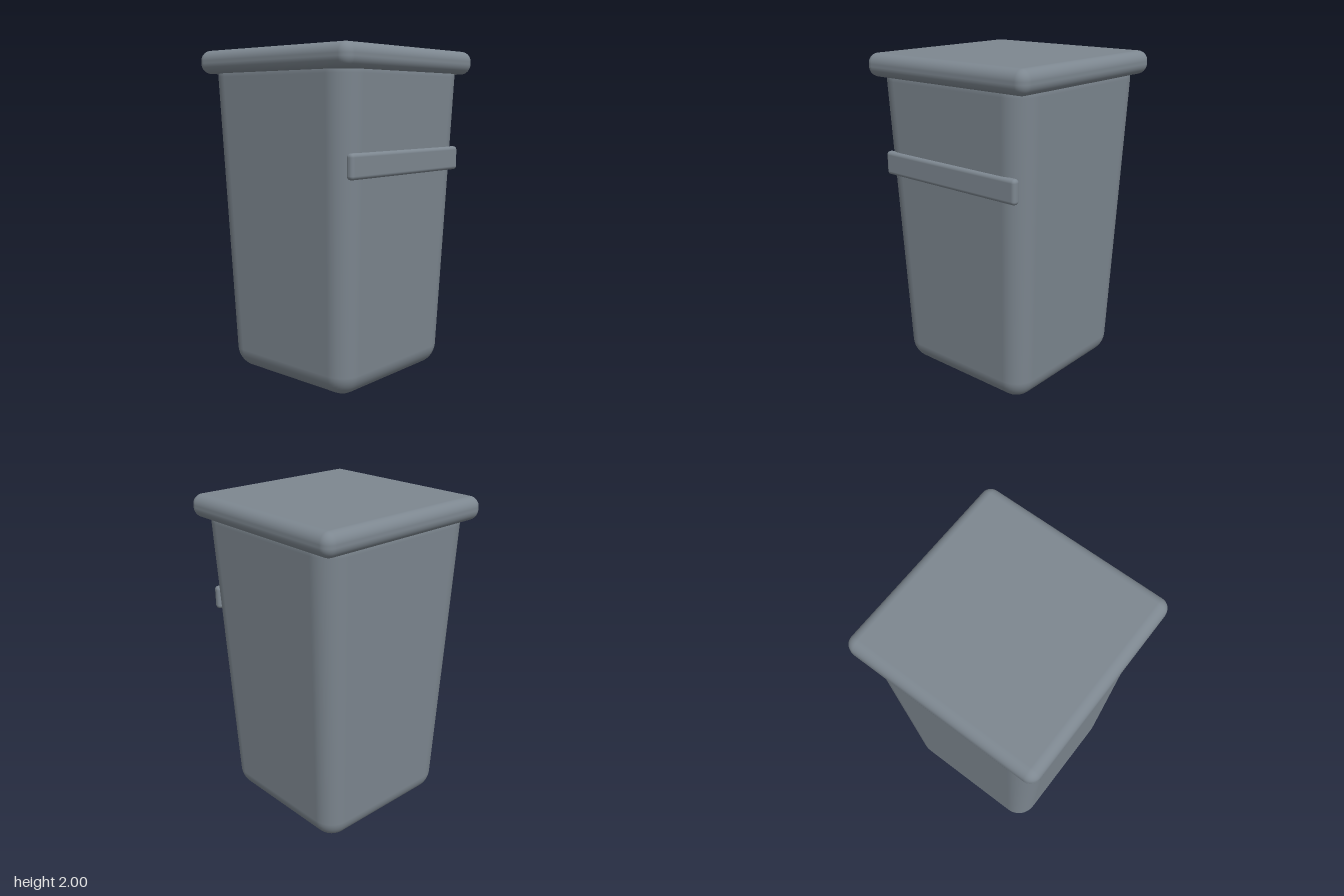
import * as THREE from 'three';
import { RoundedBoxGeometry } from 'three/addons/geometries/RoundedBoxGeometry.js';

// Widen a unit-wide box with height: half width = base + slope * y, normals follow the slope.
function taper(geometry, base, slope) {
  const p = geometry.attributes.position;
  const n = geometry.attributes.normal;
  const v = new THREE.Vector3();
  for (let i = 0; i < p.count; i++) {
    const x = p.getX(i), y = p.getY(i), z = p.getZ(i);
    const s = 2 * (base + slope * y);
    v.set(n.getX(i) / s, n.getY(i) - (x * n.getX(i) + z * n.getZ(i)) * 2 * slope / s, n.getZ(i) / s).normalize();
    n.setXYZ(i, v.x, v.y, v.z);
    p.setXYZ(i, x * s, y, z * s);
  }
  return geometry;
}

export function createModel() {
  const model = new THREE.Group();
  model.name = 'trashBin';
  const plastic = new THREE.MeshStandardMaterial({ color: 0x7d8790 });
  plastic.name = 'greyPlastic';

  const add = (name, geometry) => {
    const mesh = new THREE.Mesh(geometry, plastic);
    mesh.name = name;
    model.add(mesh);
  };

  // Bin body, narrower at the foot, its rounded top tucked into the lid
  const body = new RoundedBoxGeometry(1, 1.97, 1, 5, 0.13).translate(0, 0.985, 0);
  add('body', taper(body, 0.485, 0.0407));

  // Overhanging square lid
  add('lid', new RoundedBoxGeometry(1.215, 0.14, 1.215, 5, 0.062).translate(0, 1.93, 0));

  // Flat handle bar across the front
  add('handle', new RoundedBoxGeometry(1.02, 0.145, 0.05, 4, 0.022).translate(0, 1.343, 0.537));

  return model;
}
